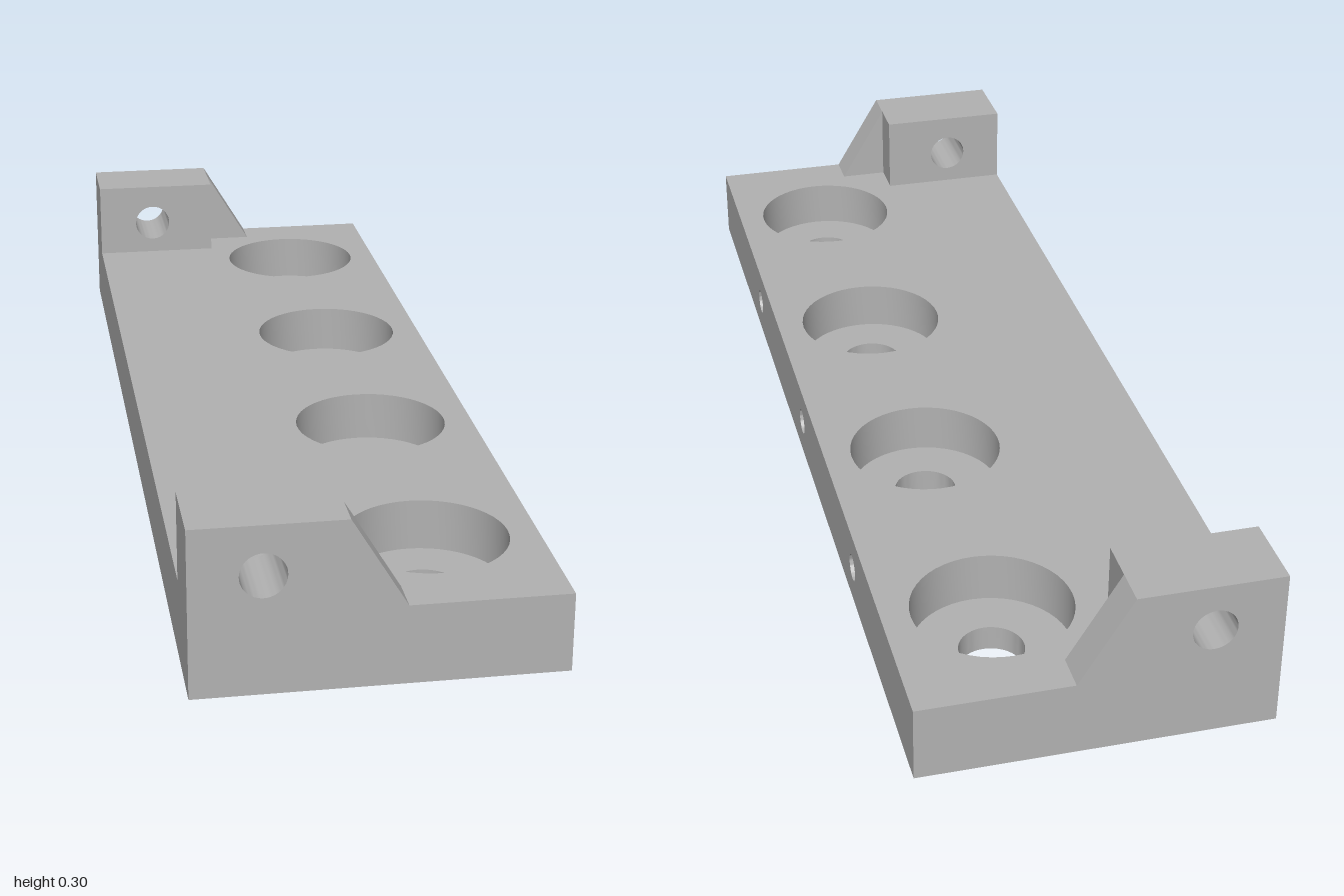
import * as THREE from 'three';
import { toCreasedNormals } from 'three/addons/utils/BufferGeometryUtils.js';

const LEFT = -0.313, RIGHT = 0.313;   // plate edges in x
const STRIP = 0.264;                  // where the drilled edge strip begins
const TOP = 0.14, FLOOR = 0.047;      // plate top and counterbore floor
const EAR_TOP = 0.297;

// Closed polygon with round holes given as [x, y, radius]
function drilledShape(points, holes = []) {
  const shape = new THREE.Shape(points.map(([x, y]) => new THREE.Vector2(x, y)));
  for (const [x, y, r] of holes) {
    const path = new THREE.Path();
    path.absarc(x, y, r, 0, Math.PI * 2, true);
    shape.holes.push(path);
  }
  return shape;
}

const rect = (x0, y0, x1, y1) => [[x0, y0], [x1, y0], [x1, y1], [x0, y1]];

function extrude(shape, depth) {
  return new THREE.ExtrudeGeometry(shape, { depth, bevelEnabled: false, curveSegments: 24 });
}

export function createModel() {
  const group = new THREE.Group();
  const metal = new THREE.MeshStandardMaterial({ color: 0xb2b2b2 });
  metal.name = 'plain grey metal';

  const add = (name, geometry) => {
    const mesh = new THREE.Mesh(toCreasedNormals(geometry, 0.5), metal);
    mesh.name = name;
    group.add(mesh);
  };

  // Horizontal layer of the plate; holes are [x, z, radius]
  const layer = (name, y0, y1, holes) => {
    const shape = drilledShape(rect(LEFT, -1, STRIP, 1), holes.map(([x, z, r]) => [x, -z, r]));
    add(name, extrude(shape, y1 - y0).rotateX(-Math.PI / 2).translate(0, y0, 0));
  };

  const boltZ = [-0.76, -0.255, 0.25, 0.755];
  const blindHoles = [[-0.089, -0.906], [-0.089, -0.525], [-0.196, 0], [-0.196, 0.504], [0.227, -0.525]];

  // Lower layer: bolt holes plus small blind holes closed by the layer above
  layer('plateLower', 0, FLOOR, [
    ...boltZ.map((z) => [0.12, z, 0.058]),
    ...blindHoles.map(([x, z]) => [x, z, 0.021]),
  ]);

  // Upper layer: wide counterbores
  layer('plateUpper', FLOOR, TOP, boltZ.map((z) => [0.12, z, 0.142]));

  // Edge strip with three blind side holes
  const strip = drilledShape(rect(-1, 0, 1, TOP), [-0.505, 0, 0.505].map((z) => [z, 0.07, 0.025]));
  add('drilledEdge', extrude(strip, RIGHT - STRIP).rotateY(Math.PI / 2).translate(STRIP, 0, 0));

  // Upright ear with a cross hole and a sloping gusset at each end
  const earDepth = 0.143, gussetDepth = 0.068;
  const ear = drilledShape(rect(LEFT, TOP, -0.054, EAR_TOP), [[-0.192, 0.21, 0.039]]);
  const gusset = drilledShape([[-0.054, TOP], [0.041, TOP], [-0.054, EAR_TOP]]);
  for (const [end, front] of [['front', true], ['back', false]]) {
    add(end + 'Ear', extrude(ear, earDepth).translate(0, 0, front ? 1 - earDepth : -1));
    add(end + 'Gusset', extrude(gusset, gussetDepth).translate(0, 0, front ? 1 - gussetDepth : -1));
  }

  return group;
}
